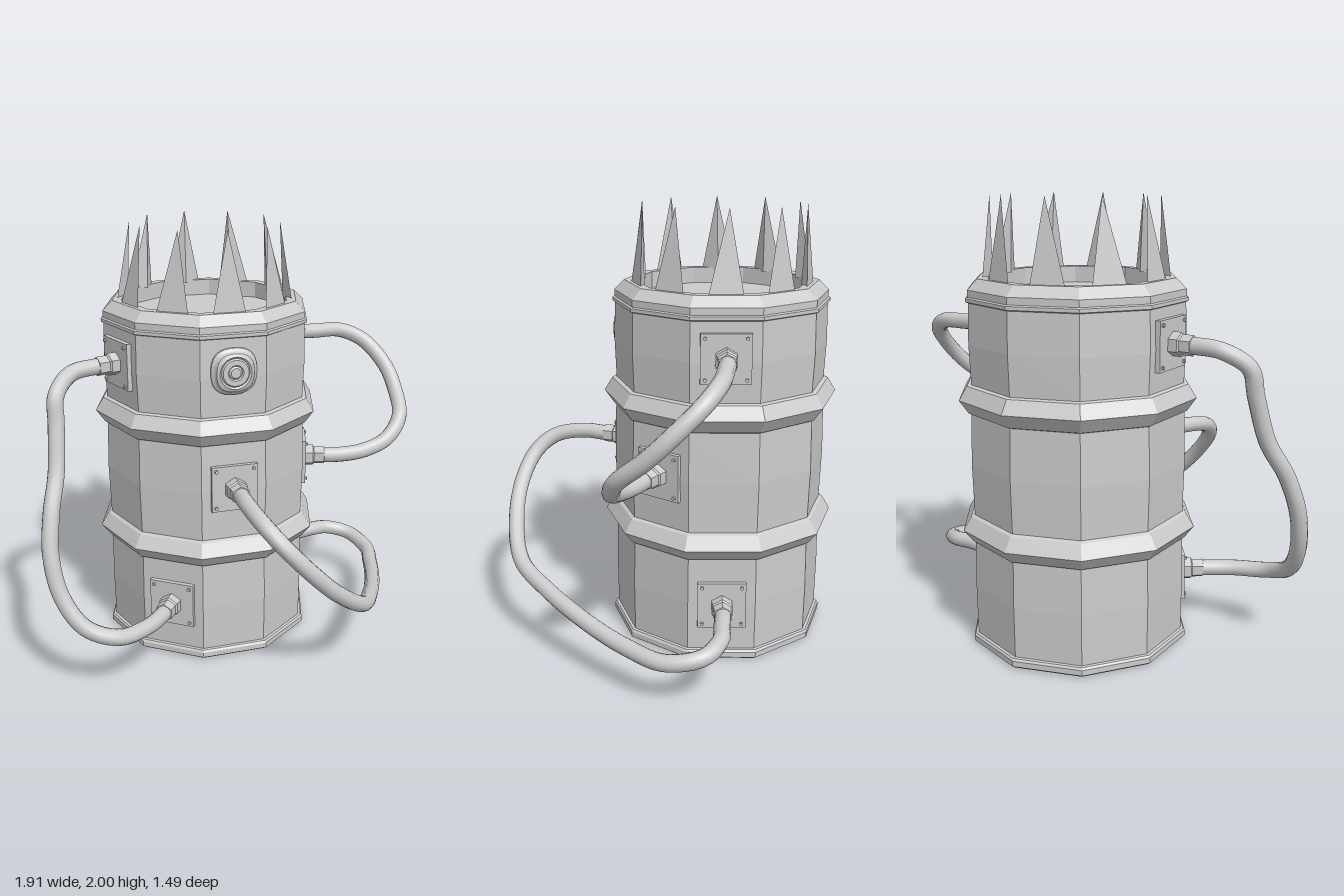
import * as THREE from 'three';

const CX = -0.08, CZ = -0.235;              // barrel axis
const APOTHEM = 0.463;                      // axis to the middle of a side
const flat = new THREE.MeshStandardMaterial({ color: 0xcccccc, flatShading: true, side: THREE.DoubleSide });
const smooth = new THREE.MeshStandardMaterial({ color: 0xcccccc, side: THREE.DoubleSide });
const rad = THREE.MathUtils.degToRad;
const v2 = (p) => new THREE.Vector2(p[0], p[1]);

function add(parent, name, geometry, material = flat) {
  const mesh = new THREE.Mesh(geometry, material);
  mesh.name = name;
  parent.add(mesh);
  return mesh;
}

// Group on a barrel side: local +z points outward, origin on the surface
function sideGroup(parent, name, deg, y) {
  const g = new THREE.Group();
  const a = rad(deg);
  g.name = name;
  g.position.set(CX + APOTHEM * Math.cos(a), y, CZ + APOTHEM * Math.sin(a));
  g.rotation.y = Math.PI / 2 - a;
  parent.add(g);
  return g;
}

// Square bolted plate with a stepped hexagonal collar
function addSocket(parent, deg, y) {
  const g = sideGroup(parent, 'hoseSocket', deg, y);
  add(g, 'plate', new THREE.BoxGeometry(0.215, 0.215, 0.03)).position.z = 0.005;
  for (const sx of [-1, 1]) for (const sy of [-1, 1]) {
    const bolt = add(g, 'bolt', new THREE.CylinderGeometry(0.008, 0.008, 0.012, 6));
    bolt.rotation.x = Math.PI / 2;
    bolt.position.set(sx * 0.088, sy * 0.088, 0.024);
  }
  const collar = [[0, 0.0], [0.052, 0.0], [0.052, 0.06], [0.044, 0.066], [0.044, 0.115], [0.03, 0.118]];
  add(g, 'collar', new THREE.LatheGeometry(collar.map(v2), 6)).rotation.x = Math.PI / 2;
}

// Hose between two sockets, passing through the given points
function addHose(parent, from, to, points) {
  const at = ([deg, y], r) => new THREE.Vector3(
    CX + r * Math.cos(rad(deg)), y, CZ + r * Math.sin(rad(deg)));
  const path = [at(from, 0.53), at(from, 0.58),
    ...points.map((p) => new THREE.Vector3(...p)), at(to, 0.58), at(to, 0.53)];
  const curve = new THREE.CatmullRomCurve3(path, false, 'centripetal');
  add(parent, 'hose', new THREE.TubeGeometry(curve, 80, 0.037, 12), smooth);
  addSocket(parent, ...from);
  addSocket(parent, ...to);
}

// Three-sided spike with its ridge toward the barrel axis
function spikeGeometry(a) {
  const dir = new THREE.Vector3(Math.cos(a), 0, Math.sin(a));
  const side = new THREE.Vector3(-Math.sin(a), 0, Math.cos(a));
  const base = (r, w) => dir.clone().multiplyScalar(r).addScaledVector(side, w).setY(1.645);
  const right = base(0.402, -0.075), left = base(0.402, 0.075), ridge = base(0.362, 0);
  const tip = new THREE.Vector3(0.34 * Math.cos(a), 2, 0.378 * Math.sin(a));
  const corners = [right, tip, left, left, tip, ridge, ridge, tip, right, right, left, ridge];
  const geo = new THREE.BufferGeometry().setFromPoints(corners);
  geo.computeVertexNormals();
  return geo;
}

export function createModel() {
  const model = new THREE.Group();
  model.name = 'spikedBarrel';

  // Ten-sided barrel with base rim, two bands, chamfered lip and sunken lid
  const profile = [
    [0, 0.004], [0.49, 0.004], [0.505, 0.015], [0.505, 0.04], [0.498, 0.05], [0.485, 0.052],
    [0.488, 0.28], [0.484, 0.49], [0.495, 0.495], [0.537, 0.55], [0.5, 0.61], [0.484, 0.618],
    [0.49, 0.85], [0.484, 1.075], [0.495, 1.08], [0.537, 1.14], [0.5, 1.2], [0.48, 1.205],
    [0.487, 1.38], [0.483, 1.555], [0.494, 1.56], [0.494, 1.575], [0.485, 1.58],
    [0.485, 1.61], [0.44, 1.655], [0.395, 1.655], [0.395, 1.58], [0, 1.58],
  ];
  const barrel = add(model, 'barrel', new THREE.LatheGeometry(profile.map(v2), 10, Math.PI / 10));
  barrel.position.set(CX, 0, CZ);

  // Crown of spikes, one per side
  for (let i = 0; i < 10; i++) {
    add(model, 'spike', spikeGeometry(rad(18 + 36 * i))).position.set(CX, 0, CZ);
  }

  // Round stepped boss on the front, its outer rings slightly squared
  const boss = sideGroup(model, 'frontBoss', 90, 1.41);
  const rings = [[0.11, -0.01], [0.108, 0.006], [0.095, 0.016], [0.088, 0.03], [0.072, 0.037],
    [0.064, 0.03], [0.058, 0.037], [0.035, 0.037], [0.03, 0.03], [0.022, 0.037], [0, 0.037]];
  const bossGeo = new THREE.LatheGeometry(rings.map(v2), 32);
  const pos = bossGeo.attributes.position;
  for (let i = 0; i < pos.count; i++) {
    const x = pos.getX(i), z = pos.getZ(i);
    const k = Math.hypot(x, z) > 0.08 ? 1 - 0.04 * Math.cos(4 * Math.atan2(z, x)) : 1;
    pos.setX(i, x * k);
    pos.setZ(i, z * k);
  }
  add(boss, 'bossRings', bossGeo).rotation.x = Math.PI / 2;

  // Three hoses looping between the sides
  addHose(model, [162, 1.4], [126, 0.28], [
    [-0.75, 1.39, -0.01], [-0.83, 1.32, 0.07], [-0.84, 1.2, 0.1], [-0.86, 1.0, 0.16],
    [-0.9, 0.85, 0.24], [-0.92, 0.68, 0.3], [-0.89, 0.5, 0.35], [-0.8, 0.36, 0.4],
    [-0.66, 0.3, 0.415], [-0.52, 0.285, 0.34]]);
  addHose(model, [-18, 1.4], [18, 0.86], [
    [0.56, 1.395, -0.43], [0.7, 1.385, -0.45], [0.82, 1.33, -0.42], [0.9, 1.22, -0.32],
    [0.915, 1.12, -0.22], [0.885, 1.01, -0.09], [0.79, 0.92, -0.03], [0.66, 0.875, -0.02],
    [0.54, 0.86, -0.04]]);
  addHose(model, [90, 0.87], [-18, 0.275], [
    [-0.083, 0.87, 0.46], [-0.06, 0.84, 0.6], [0, 0.77, 0.68], [0.11, 0.65, 0.71],
    [0.25, 0.51, 0.68], [0.42, 0.375, 0.575], [0.55, 0.31, 0.38], [0.68, 0.25, 0.12],
    [0.76, 0.22, -0.08], [0.815, 0.215, -0.26], [0.77, 0.24, -0.41], [0.66, 0.265, -0.455],
    [0.56, 0.275, -0.435]]);

  return model;
}
